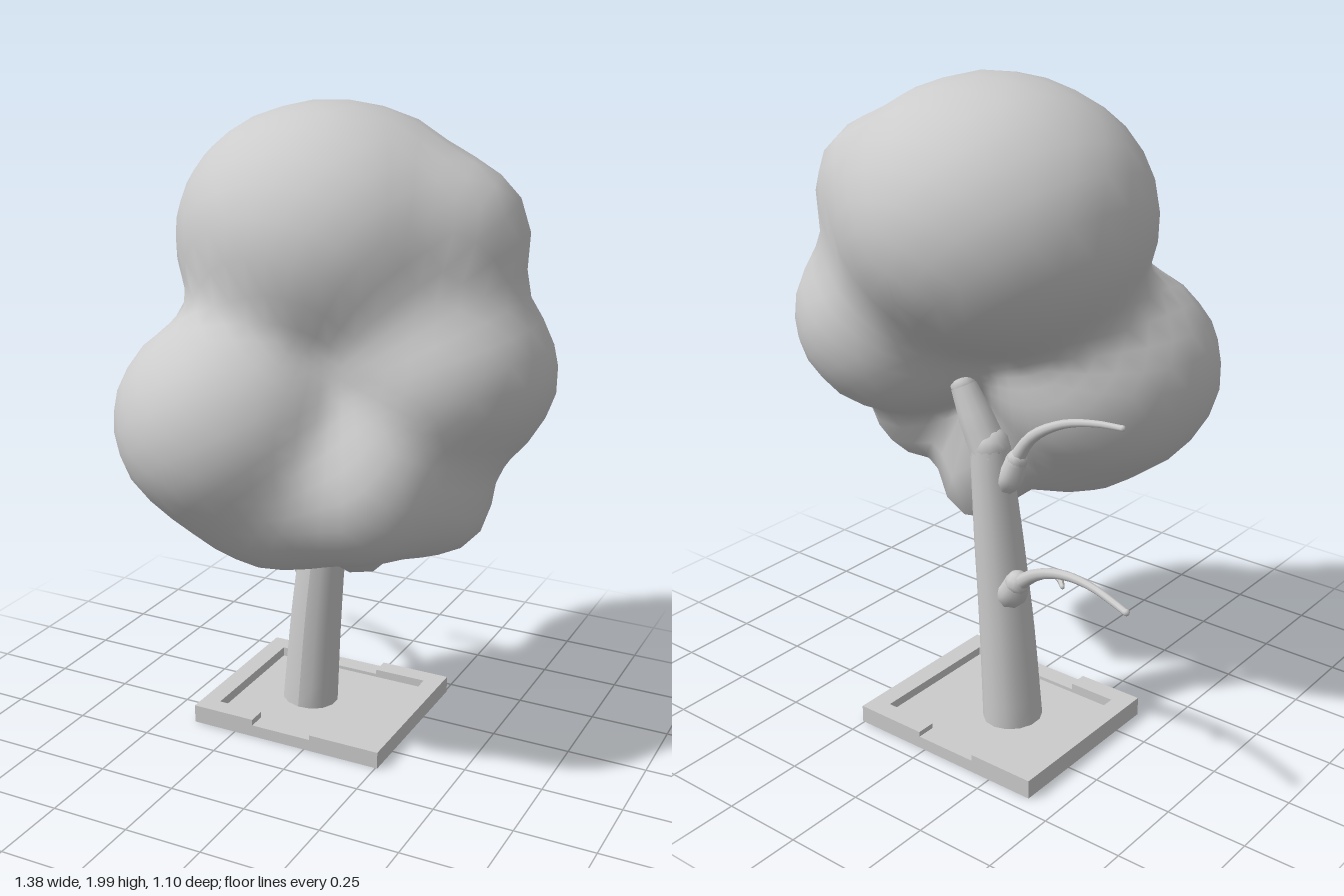
import * as THREE from 'three';
import { mergeVertices } from 'three/addons/utils/BufferGeometryUtils.js';

const V = (x, y, z) => new THREE.Vector3(x, y, z);
const grey = new THREE.MeshStandardMaterial({ color: 0xcccccc });
const greyOpen = new THREE.MeshStandardMaterial({ color: 0xcccccc, side: THREE.DoubleSide });

// Crown lobes: centre and radii of ellipsoids that melt into one surface
const LOBES = [
  [V(-0.01, 1.61, -0.105), V(0.475, 0.395, 0.445)],
  [V(0.39, 1.64, -0.14), V(0.19, 0.19, 0.19)],
  [V(-0.18, 1.1, 0.2), V(0.355, 0.33, 0.36)],
  [V(0.35, 1.245, -0.09), V(0.34, 0.31, 0.34)],
  [V(0.25, 0.94, 0.18), V(0.21, 0.21, 0.23)],
  [V(0.4, 0.89, 0.02), V(0.15, 0.16, 0.14)],
  [V(-0.03, 0.88, 0.2), V(0.25, 0.215, 0.21)],
  [V(0.13, 0.73, -0.02), V(0.115, 0.145, 0.11)],
];

// Smoothly blended distance to the lobes
function crownDistance(p) {
  const k = 0.13, q = V(0, 0, 0);
  let d = 10;
  for (const [c, r] of LOBES) {
    const e = (q.copy(p).sub(c).divide(r).length() - 1) * Math.min(r.x, r.y, r.z);
    const h = Math.max(k - Math.abs(d - e), 0) / k;
    d = Math.min(d, e) - h * h * k * 0.25;
  }
  return d;
}

// Shrink a coarse sphere onto the blended lobes
function crownGeometry() {
  let g = new THREE.IcosahedronGeometry(1, 8);
  g.deleteAttribute('normal');
  g.deleteAttribute('uv');
  g = mergeVertices(g, 1e-4);
  const pos = g.attributes.position, centre = V(0.08, 1.2, 0.04);
  const dir = V(0, 0, 0), p = V(0, 0, 0);
  for (let i = 0; i < pos.count; i++) {
    dir.fromBufferAttribute(pos, i).normalize();
    let t = 1.2;
    do {
      t -= 0.004;
      p.copy(centre).addScaledVector(dir, t);
    } while (t > 0.05 && crownDistance(p) > 0);
    pos.setXYZ(i, p.x, p.y, p.z);
  }
  g.computeVertexNormals();
  return g;
}

// Tapered round limb along a smooth path; radii are spread evenly over it
function limb(name, points, radii, sides = 10, steps = 14) {
  const curve = new THREE.CatmullRomCurve3(points);
  const g = new THREE.TubeGeometry(curve, steps, 1, sides, false);
  const pos = g.attributes.position, p = V(0, 0, 0);
  for (let i = 0; i <= steps; i++) {
    const f = (i / steps) * (radii.length - 1), a = Math.min(Math.floor(f), radii.length - 2);
    const r = THREE.MathUtils.lerp(radii[a], radii[a + 1], f - a);
    const c = curve.getPointAt(i / steps);
    for (let j = 0; j <= sides; j++) {
      const n = i * (sides + 1) + j;
      p.fromBufferAttribute(pos, n).sub(c).multiplyScalar(r).add(c);
      pos.setXYZ(n, p.x, p.y, p.z);
    }
  }
  g.computeVertexNormals();
  const group = new THREE.Group();
  group.name = name;
  group.add(new THREE.Mesh(g, grey));
  // Rounded tip
  const tip = new THREE.Mesh(new THREE.SphereGeometry(radii[radii.length - 1], sides, 6), grey);
  tip.position.copy(points[points.length - 1]);
  group.add(tip);
  return group;
}

// Box without its bottom face, so that the planter is hollow underneath
function openBox(name, x0, x1, y0, y1, z0, z1) {
  const g = new THREE.BoxGeometry(x1 - x0, y1 - y0, z1 - z0);
  g.setIndex([...g.index.array].filter((_, i) => i < 18 || i >= 24));
  g.clearGroups();
  const m = new THREE.Mesh(g, greyOpen);
  m.name = name;
  m.position.set((x0 + x1) / 2, (y0 + y1) / 2, (z0 + z1) / 2);
  return m;
}

// Square planter: a rim, notched at front and back, around a soil panel
function planter() {
  const g = new THREE.Group();
  g.name = 'planter';
  const X0 = -0.398, X1 = 0.256, Z0 = -0.446, Z1 = 0.116, w = 0.06;
  for (const [z0, z1] of [[Z0, Z0 + w], [Z1 - w, Z1]]) {
    g.add(openBox('rimLeft', X0, -0.185, 0.006, 0.065, z0, z1));
    g.add(openBox('rimNotch', -0.185, 0.02, 0.006, 0.045, z0, z1));
    g.add(openBox('rimRight', 0.02, X1, 0.006, 0.061, z0, z1));
  }
  g.add(openBox('rimSide', X0, X0 + w, 0.006, 0.065, Z0 + w, Z1 - w));
  g.add(openBox('rimSide', X1 - w, X1, 0.006, 0.061, Z0 + w, Z1 - w));
  g.add(openBox('soil', X0 + w, X1 - w, 0.02, 0.034, Z0 + w, Z1 - w));
  return g;
}

export function createModel() {
  const model = new THREE.Group();
  model.add(planter());

  const crown = new THREE.Mesh(crownGeometry(), grey);
  crown.name = 'crown';
  model.add(crown);

  // Leaning trunk and the sharply kinked fork that carries the crown
  model.add(limb('trunk',
    [V(-0.117, 0.038, -0.163), V(-0.097, 0.35, -0.167), V(-0.07, 0.65, -0.172), V(-0.045, 0.93, -0.177)],
    [0.092, 0.084, 0.074, 0.06], 14, 12));
  model.add(limb('trunkFork',
    [V(-0.05, 0.9, -0.177), V(0.005, 1.01, -0.18), V(0.05, 1.1, -0.182)],
    [0.06, 0.054, 0.04], 12, 8));

  // Lower branch with its thick stub and twig
  model.add(limb('lowerStub',
    [V(-0.1, 0.46, -0.18), V(-0.15, 0.5, -0.2), V(-0.172, 0.535, -0.21)],
    [0.05, 0.05, 0.038]));
  model.add(limb('lowerBranch',
    [V(-0.15, 0.51, -0.2), V(-0.26, 0.6, -0.235), V(-0.39, 0.66, -0.28), V(-0.53, 0.69, -0.335), V(-0.68, 0.688, -0.39)],
    [0.026, 0.018, 0.014, 0.011, 0.01], 8));
  model.add(limb('lowerTwig',
    [V(-0.34, 0.645, -0.262), V(-0.375, 0.64, -0.275), V(-0.4, 0.632, -0.295)],
    [0.011, 0.01, 0.007], 6, 6));

  // Upper branch
  model.add(limb('upperStub',
    [V(-0.06, 0.8, -0.17), V(-0.112, 0.85, -0.17), V(-0.14, 0.91, -0.17)],
    [0.045, 0.044, 0.032]));
  model.add(limb('upperBranch',
    [V(-0.12, 0.88, -0.17), V(-0.19, 0.99, -0.17), V(-0.3, 1.06, -0.17), V(-0.41, 1.09, -0.17), V(-0.505, 1.1, -0.17)],
    [0.028, 0.019, 0.014, 0.011, 0.009], 8));

  return model;
}
